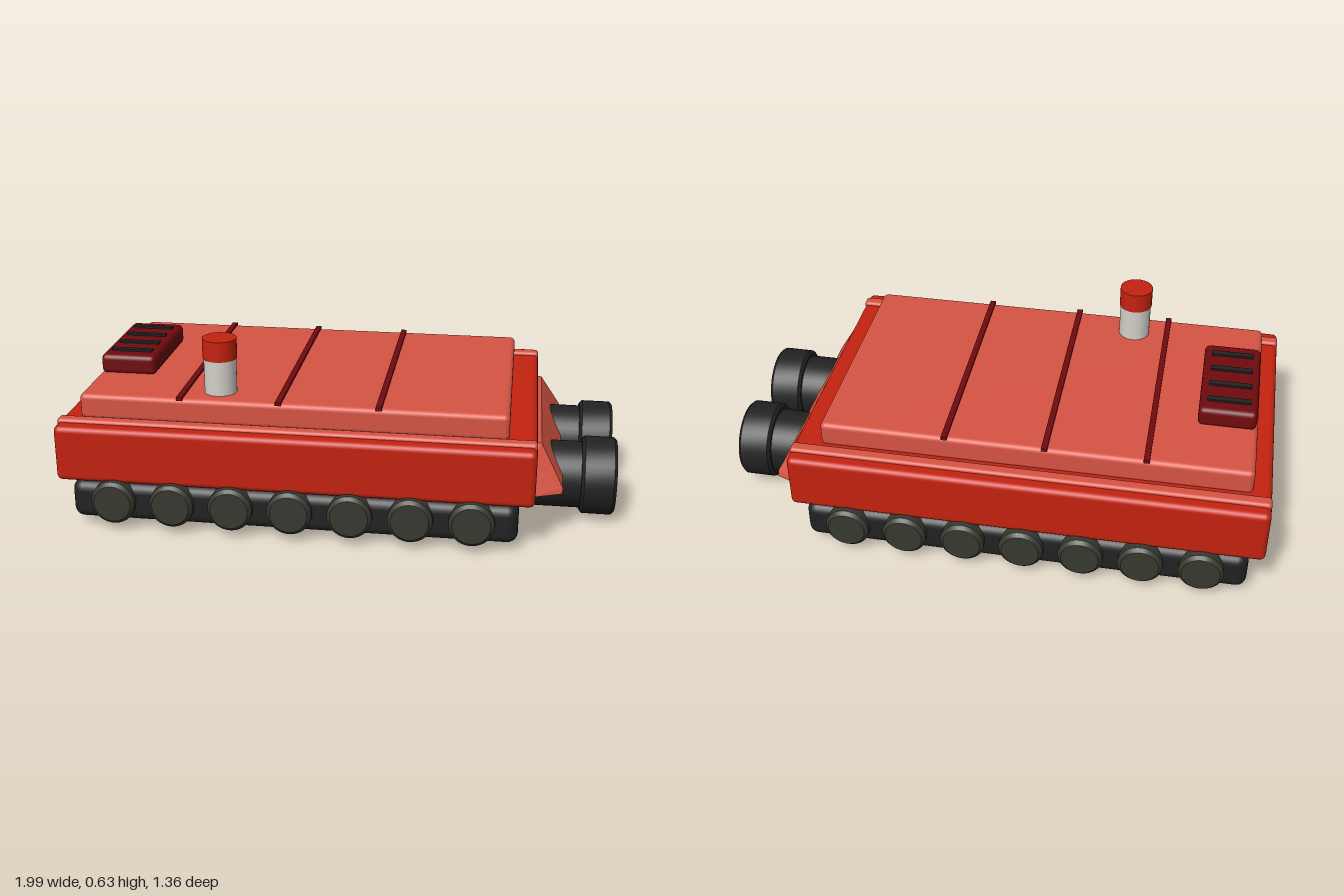
import * as THREE from 'three';
import { toCreasedNormals } from 'three/addons/utils/BufferGeometryUtils.js';
import { RoundedBoxGeometry } from 'three/addons/geometries/RoundedBoxGeometry.js';
import { ConvexGeometry } from 'three/addons/geometries/ConvexGeometry.js';

const mat = (name, color) => {
  const m = new THREE.MeshStandardMaterial({ color });
  m.name = name;
  return m;
};

export function createModel() {
  const red = mat('body red', 0xc4220f);
  const lightRed = mat('light red', 0xd65444);
  const darkRed = mat('dark red', 0x700a0e);
  const black = mat('black', 0x222222);
  const olive = mat('wheel grey', 0x37382f);
  const white = mat('off white', 0xd2d0c8);

  const root = new THREE.Group();
  root.name = 'vehicle';
  const hull = new THREE.Group();
  hull.name = 'vehicleBody';
  hull.position.set(-0.113, 0, -0.003);
  hull.rotation.y = 0.195; // the whole vehicle stands at a slight yaw
  root.add(hull);

  const add = (name, geo, material, x = 0, y = 0, z = 0) => {
    const m = new THREE.Mesh(geo, material);
    m.name = name;
    m.position.set(x, y, z);
    hull.add(m);
    return m;
  };
  // rounded box given by its length, bottom, top and width
  const slab = (name, material, len, y0, y1, width, r, x = 0, z = 0) =>
    add(name, new RoundedBoxGeometry(len, y1 - y0, width, 3, r), material, x, (y0 + y1) / 2, z);
  // turned part along y, sharp where the profile turns
  const turned = (pts, sides = 40) => toCreasedNormals(
    new THREE.LatheGeometry(pts.map(p => new THREE.Vector2(...p)), sides), 0.6);
  const drum = (r, y0, y1, b) =>
    turned([[0, y0], [r - b, y0], [r, y0 + b], [r, y1 - b], [r - b, y1], [0, y1]]);

  // main shell, deck and side rails
  slab('shell', red, 1.6, 0.165, 0.36, 1.06, 0.02);
  slab('deck', lightRed, 1.446, 0.35, 0.44, 0.845, 0.018, -0.015);
  for (const s of [-1, 1]) slab('sideRail', lightRed, 1.6, 0.34, 0.372, 0.045, 0.012, 0, s * 0.463);

  // deck seams
  for (const x of [-0.39, -0.055, 0.28])
    add('deckSeam', new THREE.BoxGeometry(0.02, 0.012, 0.85), darkRed, x, 0.441, 0);

  // vent box with four slats
  slab('ventBox', darkRed, 0.195, 0.435, 0.505, 0.395, 0.018, -0.634);
  for (let i = 0; i < 4; i++)
    add('ventSlat', new THREE.BoxGeometry(0.145, 0.012, 0.022), black, -0.634, 0.506, -0.135 + i * 0.09);

  // beacon
  add('beaconPost', new THREE.CylinderGeometry(0.055, 0.055, 0.12, 32), white, -0.27, 0.5, 0.322);
  add('beaconCap', new THREE.CylinderGeometry(0.058, 0.058, 0.07, 32), red, -0.27, 0.595, 0.322);

  // belly between the tracks, rising towards both ends
  const belly = new THREE.Shape();
  [[-0.76, 0.18], [-0.72, 0.08], [-0.33, 0.025], [0.33, 0.025], [0.7, 0.075], [0.76, 0.18]]
    .forEach(([x, y], i) => (i ? belly.lineTo(x, y) : belly.moveTo(x, y)));
  add('belly', new THREE.ExtrudeGeometry(belly, { depth: 0.8, bevelEnabled: false }), red, 0, 0, -0.4);

  // tracks and road wheels
  const wheelGeo = drum(0.075, 0, 0.06, 0.012).rotateX(Math.PI / 2);
  for (const s of [-1, 1]) {
    slab('track', black, 1.5, 0.03, 0.165, 0.14, 0.035, 0, s * 0.46);
    for (let i = -3; i <= 3; i++) {
      const w = add('roadWheel', wheelGeo, olive, i * 0.2, 0.105, s * 0.5);
      if (s < 0) w.rotation.y = Math.PI;
    }
  }

  // sloped exhaust housing on the end wall
  const corners = [];
  for (const s of [-1, 1])
    for (const [x, y, z] of [[0.78, 0.165, 0.44], [0.89, 0.165, 0.395], [0.89, 0.185, 0.39],
      [0.815, 0.315, 0.33], [0.78, 0.318, 0.34], [0.78, 0.27, 0.395]])
      corners.push(new THREE.Vector3(x, y, s * z));
  add('exhaustHousing', new ConvexGeometry(corners), lightRed);

  // twin exhausts: inner collar, pipe and outer cap
  const along = g => g.rotateZ(-Math.PI / 2);
  for (const s of [-1, 1]) {
    const z = s * 0.173;
    add('exhaustCollar', along(drum(0.136, 0.39, 0.68, 0.008)), black, 0, 0.138, z);
    add('exhaustPipe', along(drum(0.115, 0.6, 0.98, 0.005)), black, 0, 0.142, z);
    add('exhaustCap', along(drum(0.134, 0.955, 1.073, 0.01)), black, 0, 0.143, z);
  }
  return root;
}
